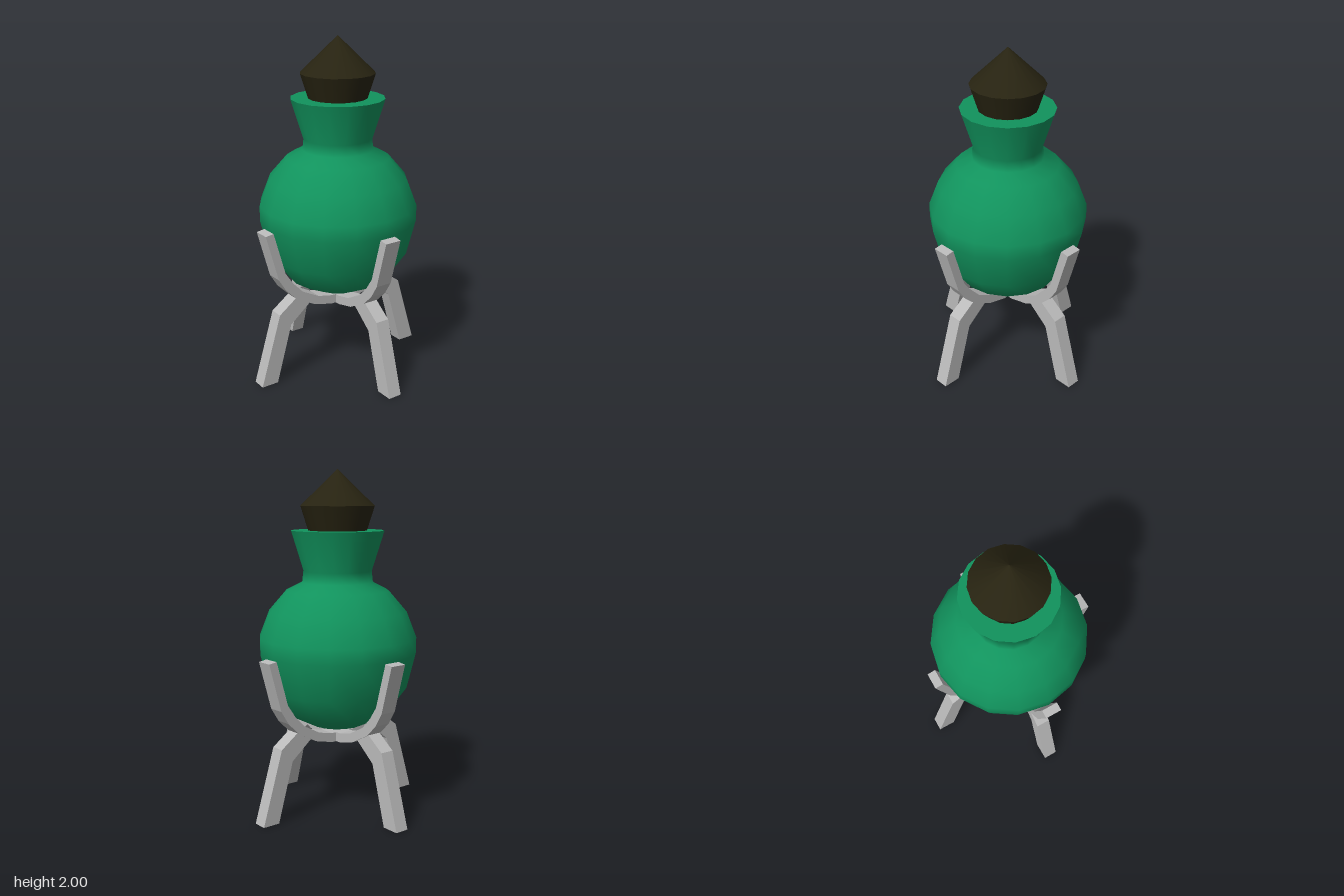
import * as THREE from 'three';

const green = new THREE.MeshStandardMaterial({ name: 'green glass', color: 0x11935d });
const dark = new THREE.MeshStandardMaterial({ name: 'dark cork', color: 0x272311 });
const grey = new THREE.MeshStandardMaterial({ name: 'grey metal', color: 0xbababa });

const points = (list) => list.map(([x, y]) => new THREE.Vector2(x, y));

// Turned section; separate sections keep a crisp edge between them
function turned(name, profile, material) {
  const mesh = new THREE.Mesh(new THREE.LatheGeometry(points(profile), 16), material);
  mesh.name = name;
  return mesh;
}

// Flat bar: an outline in the xy plane given thickness about z = 0
function bar(name, outline, width) {
  const geometry = new THREE.ExtrudeGeometry(new THREE.Shape(points(outline)), {
    depth: width, bevelEnabled: false,
  });
  geometry.translate(0, 0, -width / 2);
  const mesh = new THREE.Mesh(geometry, grey);
  mesh.name = name;
  return mesh;
}

export function createModel() {
  const model = new THREE.Group();
  model.name = 'potionFlask';

  // Round flask with a flared neck
  const flask = new THREE.Group();
  flask.name = 'flask';
  flask.add(
    turned('flaskBody', [
      [0, 0.495], [0.155, 0.508], [0.3, 0.582], [0.41, 0.73], [0.463, 0.945], [0.463, 1.035],
      [0.405, 1.185], [0.3, 1.307], [0.207, 1.355], [0.2, 1.42], [0.272, 1.652],
    ], green),
    turned('flaskRim', [[0.272, 1.652], [0, 1.652]], green),
  );
  model.add(flask);

  // Stopper with a pointed top
  const stopper = new THREE.Group();
  stopper.name = 'stopper';
  stopper.add(
    turned('stopperPlug', [[0.17, 1.65], [0.215, 1.792]], dark),
    turned('stopperPoint', [[0.215, 1.792], [0, 2]], dark),
  );
  model.add(stopper);

  // Two crossing cradle bands, each a U
  const outer = [[0.524, 0.937], [0.446, 0.656], [0.397, 0.577], [0.328, 0.508], [0.2, 0.44], [0.08, 0.412]];
  const inner = [[0.08, 0.467], [0.175, 0.487], [0.286, 0.545], [0.35, 0.612], [0.4, 0.685], [0.474, 0.945]];
  const mirror = (list) => list.map(([x, y]) => [-x, y]).reverse();
  const cradleOutline = [...outer, ...mirror(outer), ...mirror(inner), ...inner];
  for (let i = 0; i < 2; i++) {
    const band = bar('cradleBand', cradleOutline, 0.1);
    band.rotation.y = i * Math.PI / 2;
    model.add(band);
  }

  // Four bent legs
  const legOutline = [[0.57, 0], [0.44, 0.43], [0.33, 0.51], [0.23, 0.46], [0.365, 0.35], [0.465, 0]];
  for (let i = 0; i < 4; i++) {
    const leg = bar('leg', legOutline, 0.084);
    leg.rotation.y = i * Math.PI / 2;
    model.add(leg);
  }
  return model;
}
